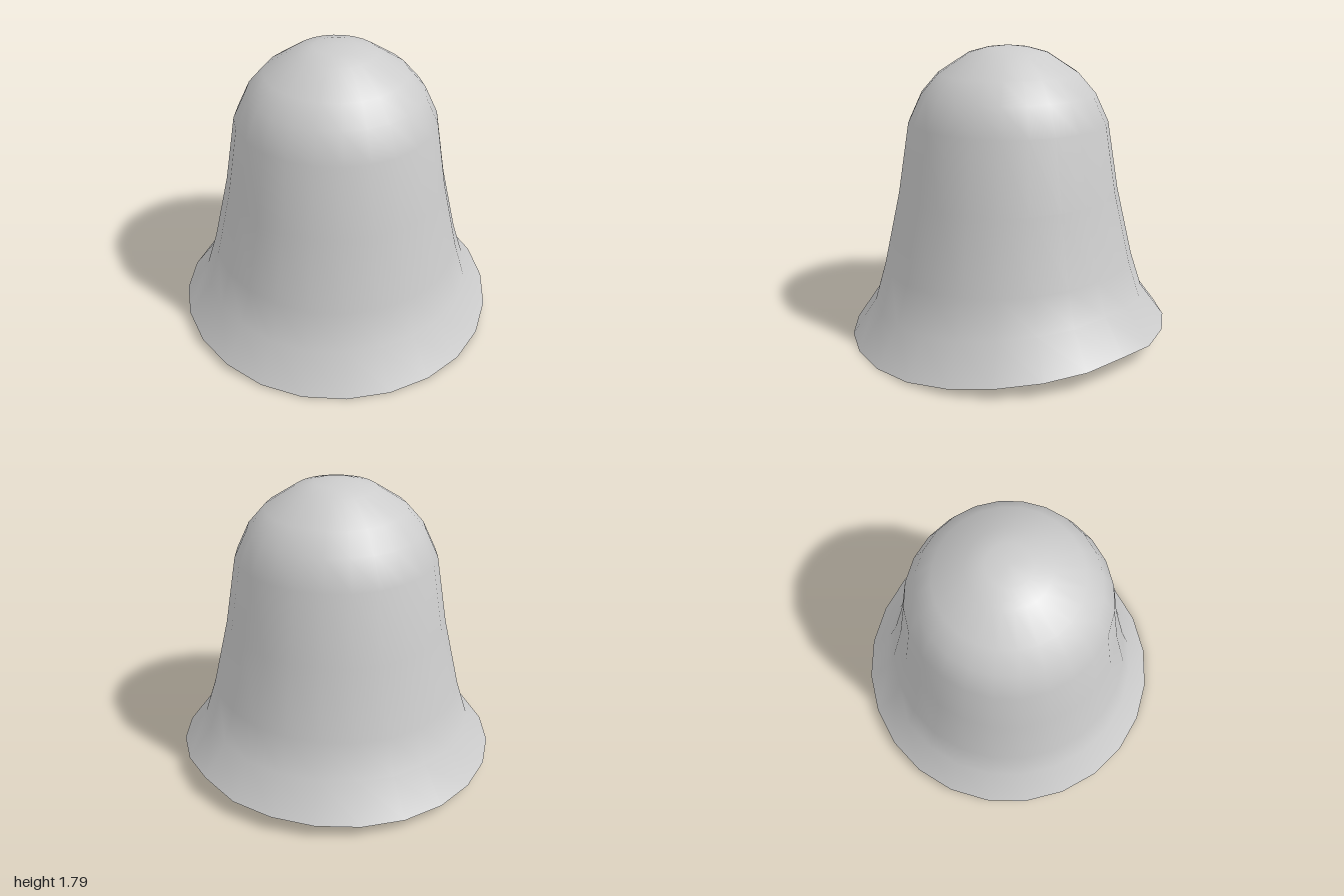
import * as THREE from 'three';
import { mergeVertices } from 'three/addons/utils/BufferGeometryUtils.js';

const SIDES = 24;

// Height of the uneven rim, every 15 degrees from the front (+z) towards +x
const RIM = [0.01, 0, 0, 0, 0, 0, 0.01, 0.035, 0.065, 0.09, 0.11, 0.13,
  0.10, 0.095, 0.085, 0.075, 0.065, 0.06, 0.06, 0.06, 0.06, 0.06, 0.045, 0.03];

// Bell outline from rim to crown: radius, height, share of the rim's unevenness
const PROFILE = [
  [1, 0, 1], [0.85, 0.22, 0.75], [0.78, 0.46, 0.45], [0.68, 0.91, 0.15], [0.61, 1.34, 0],
  [0.53, 1.51, 0], [0.425, 1.63, 0], [0.24, 1.75, 0], [0.13, 1.78, 0], [0, 1.795, 0],
];

function rimHeight(x, z) {
  const step = Math.round(Math.atan2(x, z) / (2 * Math.PI) * SIDES);
  return RIM[(step + SIDES) % SIDES];
}

// Drops unused attributes, welds the seam and smooths the normals
function smooth(geometry) {
  geometry.deleteAttribute('uv');
  geometry.deleteAttribute('normal');
  const welded = mergeVertices(geometry, 1e-4);
  welded.computeVertexNormals();
  return welded;
}

function createBell() {
  const points = PROFILE.map(([r, y]) => new THREE.Vector2(r, y));
  const geometry = new THREE.LatheGeometry(points, SIDES);
  const p = geometry.attributes.position;
  for (let i = 0; i < p.count; i++) {
    const share = PROFILE[i % PROFILE.length][2];
    p.setY(i, p.getY(i) + share * rimHeight(p.getX(i), p.getZ(i)));
  }
  return smooth(geometry);
}

function createUnderside() {
  const geometry = new THREE.CircleGeometry(1, SIDES).rotateX(Math.PI / 2);
  const p = geometry.attributes.position;
  p.setY(0, 0.045);
  for (let i = 1; i < p.count; i++) p.setY(i, rimHeight(p.getX(i), p.getZ(i)));
  return smooth(geometry);
}

export function createModel() {
  const group = new THREE.Group();
  group.name = 'bell';
  const material = new THREE.MeshStandardMaterial({ color: 0xcccccc });

  // Domed body with flared skirt
  const body = new THREE.Mesh(createBell(), material);
  body.name = 'bellBody';

  // Closed bottom following the rim
  const underside = new THREE.Mesh(createUnderside(), material);
  underside.name = 'underside';

  group.add(body, underside);
  return group;
}
